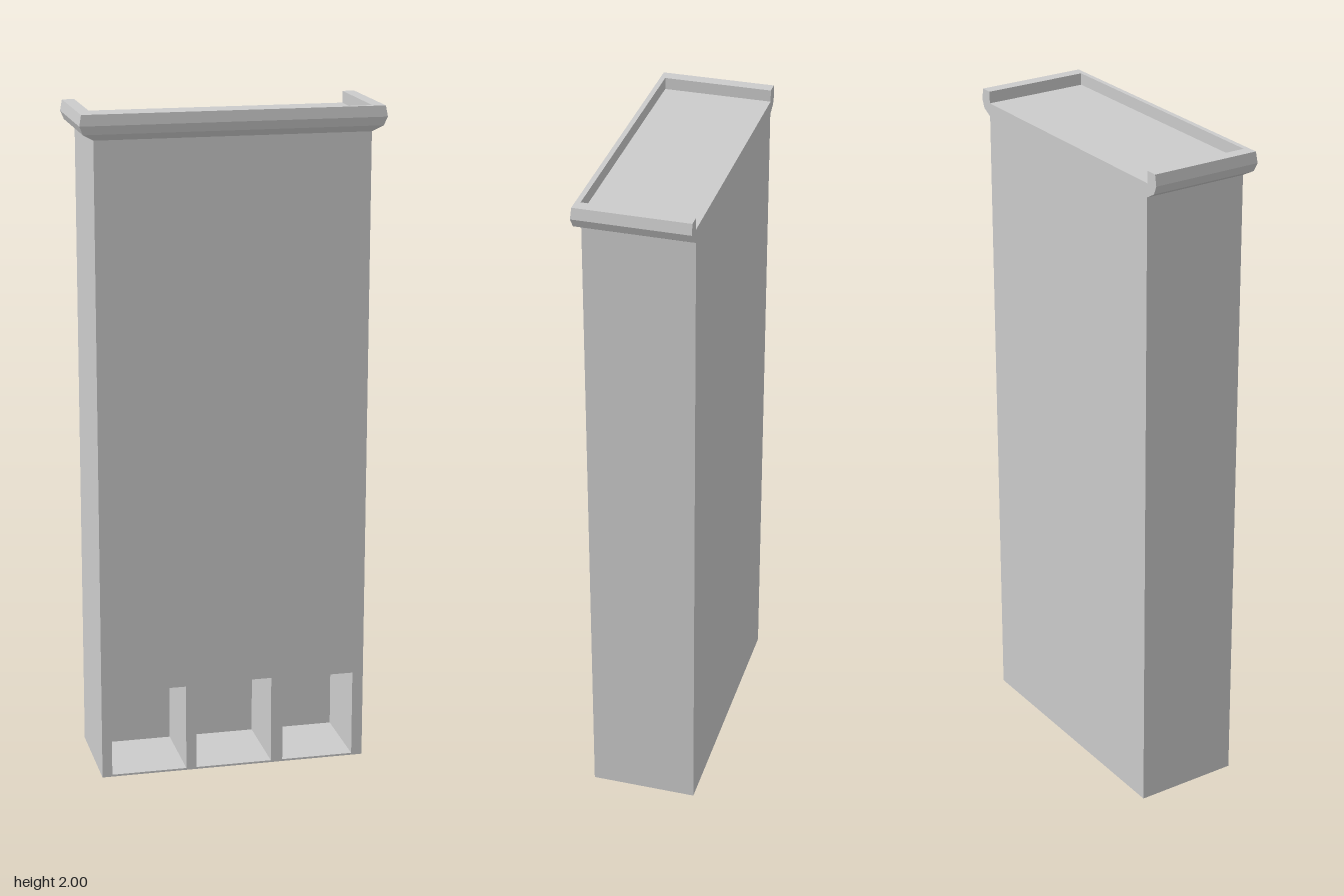
import * as THREE from 'three';

const HALF_W = 0.405, FRONT = 0.15, BACK = -0.167, RECESS = -0.1, TOP = 1.965;

// Moulding swept around left side, front and right side, open at the back
function rimGeometry() {
  // [outward fraction, height]
  const profile = [[0, 1.925], [0.75, 1.943], [1, 1.968], [0.86, 2], [0, 2]];
  const path = [[-1, false], [-1, true], [1, true], [1, false]];
  const rings = path.map(([side, front]) => profile.map(([o, y]) =>
    [side * (HALF_W + 0.042 * o), y, front ? FRONT + 0.017 * o : BACK]));
  const pos = [];
  const tri = (a, b, c) => pos.push(...a, ...b, ...c);
  const n = profile.length;
  for (let i = 0; i < 3; i++) {
    for (let j = 0; j < n; j++) {
      const k = (j + 1) % n;
      const a = rings[i][j], b = rings[i + 1][j], c = rings[i + 1][k], d = rings[i][k];
      tri(a, b, c);
      tri(a, c, d);
    }
  }
  // End caps at the back
  for (let j = 1; j < n - 1; j++) {
    tri(rings[0][0], rings[0][j], rings[0][j + 1]);
    tri(rings[3][0], rings[3][j + 1], rings[3][j]);
  }
  const g = new THREE.BufferGeometry();
  g.setAttribute('position', new THREE.Float32BufferAttribute(pos, 3));
  g.computeVertexNormals();
  return g;
}

function rectangle(path, x0, y0, x1, y1) {
  path.moveTo(x0, y0);
  path.lineTo(x1, y0);
  path.lineTo(x1, y1);
  path.lineTo(x0, y1);
  path.closePath();
  return path;
}

export function createModel() {
  const group = new THREE.Group();
  const material = new THREE.MeshStandardMaterial({ color: 0xcccccc, flatShading: true });
  const add = (name, geometry) => {
    const mesh = new THREE.Mesh(geometry, material);
    mesh.name = name;
    group.add(mesh);
    return mesh;
  };

  // Front of the body, with three square niches along the base
  const outline = rectangle(new THREE.Shape(), -HALF_W, 0, HALF_W, TOP);
  for (const [x0, x1, top] of [[-0.375, -0.147, 0.27], [-0.115, 0.117, 0.275], [0.153, 0.372, 0.27]]) {
    outline.holes.push(rectangle(new THREE.Path(), x0, 0.006, x1, top));
  }
  const body = add('bodyWithNiches',
    new THREE.ExtrudeGeometry(outline, { depth: FRONT - RECESS, bevelEnabled: false }));
  body.position.z = RECESS;

  // Solid back, closing the niches
  const back = add('bodyBack', new THREE.BoxGeometry(HALF_W * 2, TOP, RECESS - BACK));
  back.position.set(0, TOP / 2, (RECESS + BACK) / 2);

  add('topMoulding', rimGeometry());
  return group;
}
